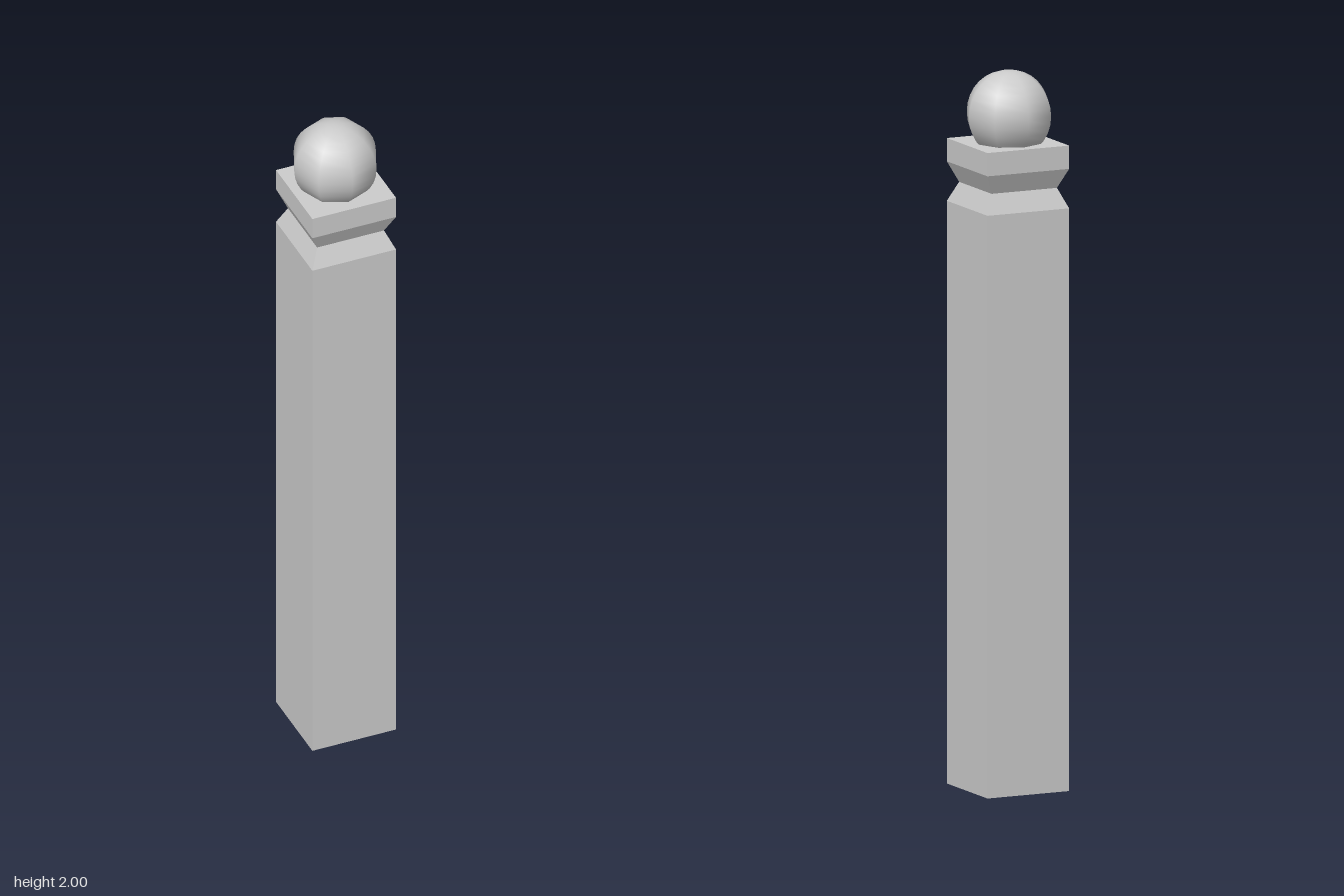
import * as THREE from 'three';

export function createModel() {
  const group = new THREE.Group();

  // Square post with a bevelled neck: [half width, height] from bottom to top
  const profile = [
    [0, 0], [0.125, 0], [0.125, 1.625], [0.1, 1.68],
    [0.125, 1.735], [0.125, 1.8], [0, 1.8],
  ].map(([w, y]) => new THREE.Vector2(w * Math.SQRT2, y));
  const post = new THREE.Mesh(
    new THREE.LatheGeometry(profile, 4, Math.PI / 4),
    new THREE.MeshStandardMaterial({ color: 0xcccccc, flatShading: true })
  );
  post.name = 'post';
  group.add(post);

  // Eight-sided ball finial, smooth shaded and sunk into the cap
  const ball = new THREE.Mesh(
    new THREE.SphereGeometry(0.122, 8, 16),
    new THREE.MeshStandardMaterial({ color: 0xcccccc })
  );
  ball.name = 'ballFinial';
  ball.position.set(-0.002, 1.878, -0.002);
  group.add(ball);

  return group;
}
